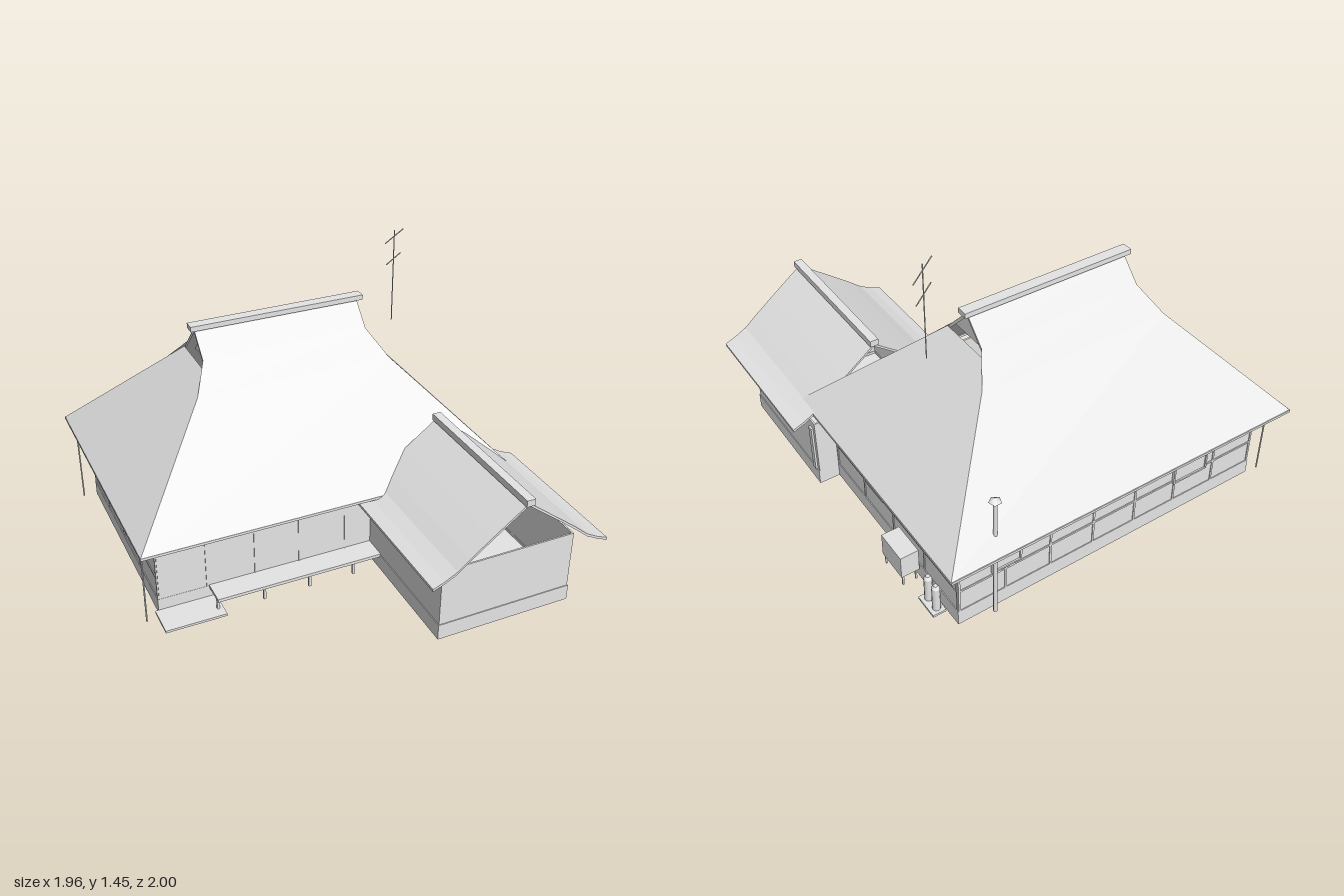
import * as THREE from 'three';

const grey = new THREE.MeshStandardMaterial({ color: 0xe5e5e5, side: THREE.DoubleSide });
grey.name = 'plain grey';

export function createModel() {
  const model = new THREE.Group();
  model.name = 'farmhouse';

  const add = (name, geometry, parent = model) => {
    const mesh = new THREE.Mesh(geometry, grey);
    mesh.name = name;
    parent.add(mesh);
    return mesh;
  };
  // Box given by its extents on each axis
  const box = (name, x0, x1, y0, y1, z0, z1, parent) => {
    const mesh = add(name, new THREE.BoxGeometry(x1 - x0, y1 - y0, z1 - z0), parent);
    mesh.position.set((x0 + x1) / 2, (y0 + y1) / 2, (z0 + z1) / 2);
    return mesh;
  };
  // Four upright walls, open above and below
  const shell = (name, x0, x1, y0, y1, z0, z1, th) => {
    box(name, x0, x1, y0, y1, z0, z0 + th);
    box(name, x0, x1, y0, y1, z1 - th, z1);
    box(name, x0, x0 + th, y0, y1, z0 + th, z1 - th);
    box(name, x1 - th, x1, y0, y1, z0 + th, z1 - th);
  };
  const rod = (name, x, z, y0, y1, r, sides = 8, rTop = r) => {
    const mesh = add(name, new THREE.CylinderGeometry(rTop, r, y1 - y0, sides));
    mesh.position.set(x, (y0 + y1) / 2, z);
  };
  // Flat convex panel from corner points
  const panel = (name, pts, parent) => {
    const pos = [];
    for (let i = 1; i < pts.length - 1; i++) pos.push(...pts[0], ...pts[i], ...pts[i + 1]);
    const g = new THREE.BufferGeometry();
    g.setAttribute('position', new THREE.Float32BufferAttribute(pos, 3));
    g.computeVertexNormals();
    add(name, g, parent);
  };

  // Main house walls, plinth and raised floor
  const L = -0.88, R = 0.775, B = -0.88, F = 0.2;
  shell('mainWalls', L, R, 0.07, 0.525, B, F, 0.01);
  shell('mainPlinth', L - 0.004, R + 0.004, 0, 0.08, B - 0.004, F + 0.001, 0.014);
  box('mainFloor', L, R, 0.06, 0.07, B, F);

  // Timber framing on the back and side walls
  const t = 0.004, w = 0.005;
  for (const y of [0.2, 0.39]) {
    box('backRail', L, R, y - w, y + w, B - t, B);
    box('leftRail', L - t, L, y - w, y + w, B, F);
    box('rightRail', R, R + t, y - w, y + w, B, F);
  }
  for (let i = 0; i <= 7; i++) {
    const x = L + w + (i / 7) * (R - L - 2 * w);
    box('backPost', x - w, x + w, 0.08, 0.45, B - t, B);
  }
  for (let i = 0; i <= 4; i++) {
    const z = B + w + (i / 4) * (F - B - 2 * w);
    box('leftPost', L - t, L, 0.08, 0.45, z - w, z + w);
    box('rightPost', R, R + t, 0.08, 0.45, z - w, z + w);
  }

  // Sliding-panel front
  box('frontLintel', L, R, 0.318, 0.327, F, F + t);
  box('frontTopBeam', L, R, 0.412, 0.422, F, F + t);
  for (const x of [-0.875, -0.645, -0.405, -0.18, 0.06])
    box('frontPost', x - w / 2, x + w / 2, 0.08, 0.42, F, F + t);

  // Framed windows: four bars round a pane
  const windowFrame = (name, width, height, x, y, z, turn) => {
    const g = new THREE.Group();
    g.name = name;
    const a = width / 2, b = height / 2, f = 0.009;
    for (const s of [-1, 1]) {
      box('frameRail', -a, a, s * (b - f / 2) - f / 2, s * (b - f / 2) + f / 2, 0, 0.014, g);
      box('frameStile', s * (a - f / 2) - f / 2, s * (a - f / 2) + f / 2, -b, b, 0, 0.014, g);
    }
    box('pane', -a, a, -b, b, 0, 0.007, g);
    g.position.set(x, y, z);
    g.rotation.y = turn;
    model.add(g);
  };
  windowFrame('rightWindow', 0.165, 0.13, R, 0.275, -0.185, Math.PI / 2);
  windowFrame('backWindowWide', 0.2, 0.13, -0.49, 0.255, B, Math.PI);
  windowFrame('backWindowSmall', 0.15, 0.11, 0.535, 0.275, B, Math.PI);

  // Veranda on short posts, running on inside the wing, and the low step
  box('verandaFloor', -0.635, R, 0.068, 0.084, F, 0.32);
  for (let i = 0; i < 6; i++) {
    const x = -0.63 + i * 0.23;
    box('verandaPost', x - 0.006, x + 0.006, 0, 0.07, 0.295, 0.307);
  }
  box('stepBoard', -0.9, -0.605, 0.008, 0.02, F, 0.355);
  for (const x of [-0.89, -0.63]) box('stepFoot', x, x + 0.015, 0, 0.01, 0.33, 0.345);

  // Great hipped roof with small open gables under the ridge
  const cx = -0.0525, cz = -0.329;
  const halfZ = (y) => 0.668 * (1.135 - y) / 0.7;
  const edge = [[0.9275, 0.435], [0.4875, 0.9], [0.415, 1.02], [0.415, 1.135]];
  const roof = new THREE.Group();
  roof.name = 'mainRoof';
  model.add(roof);
  for (const s of [-1, 1]) {
    const at = (hx, y) => [cx + hx, y, cz + s * halfZ(y)];
    for (let i = 0; i < 3; i++) {
      const [x0, y0] = edge[i], [x1, y1] = edge[i + 1];
      const pts = [at(-x0, y0), at(x0, y0), at(x1, y1), at(-x1, y1)];
      panel(s > 0 ? 'frontSlope' : 'backSlope', s > 0 ? pts : pts.reverse(), roof);
    }
    // Hip slope and recessed gable at each end
    const end = (hx, y, k, inset = 0) => [cx + s * hx, y, cz - s * k * Math.max(0, halfZ(y) - inset)];
    panel('hipSlope', [end(0.9275, 0.435, -1), end(0.9275, 0.435, 1), end(0.4875, 0.9, 1),
      end(0.417, 0.975, 1), end(0.417, 0.975, -1), end(0.4875, 0.9, -1)], roof);
    panel('gable', [end(0.35, 0.93, -1), end(0.35, 0.93, 1), end(0.35, 1.135, 0)], roof);
    // Thatch thickness showing at the gable verge
    for (const k of [-1, 1])
      panel('verge', [end(0.414, 0.975, k), end(0.414, 1.135, k), end(0.414, 1.115, 0), end(0.414, 0.975, k, 0.02)], roof);
  }
  // Thin rim hanging round the eaves
  shell('eavesRim', -0.98, 0.875, 0.423, 0.436, -1, 0.339, 0.006);
  box('ridgeCap', -0.49, 0.387, 1.13, 1.155, -0.357, -0.303, roof);

  // Front wing: open shell with a raised floor
  shell('wingWalls', 0.197, 0.878, 0.07, 0.375, F + 0.002, 0.883, 0.008);
  shell('wingPlinth', 0.193, 0.882, 0, 0.08, F + 0.002, 0.887, 0.014);
  box('wingFloor', 0.2, 0.875, 0.056, 0.066, F + 0.003, 0.88);
  box('wingShutter', 0.878, 0.888, 0.08, 0.335, 0.222, 0.25);

  // Sagging wing roof, extruded along z
  const wx = 0.535;
  const half = [[0, 0.7], [0.175, 0.568], [0.27, 0.494], [0.33, 0.444], [0.39, 0.412], [0.445, 0.39]];
  const top = [...half.slice(1).reverse().map(([x, y]) => [-x, y]), ...half];
  const outline = [...top, ...top.slice().reverse().map(([x, y]) => [x, y - 0.013])];
  const wingRoof = add('wingRoof', new THREE.ExtrudeGeometry(
    new THREE.Shape(outline.map(([x, y]) => new THREE.Vector2(wx + x, y))),
    { depth: 0.782, bevelEnabled: false }));
  wingRoof.position.z = 0.205;
  box('wingRidgeCap', wx - 0.021, wx + 0.021, 0.693, 0.725, 0.2, 1);

  // Rain pipes at the left corners
  for (const z of [0.23, -0.89]) rod('rainPipe', -0.95, z, 0, 0.43, 0.004, 6);

  // Flue with a small cap behind the house
  rod('fluePipe', 0.622, -0.93, 0.03, 0.69, 0.009);
  rod('flueCap', 0.622, -0.93, 0.69, 0.708, 0.029, 5, 0.004);

  // Aerial with two slanting crossbars
  rod('aerialMast', 0.56, -0.325, 0.98, 1.45, 0.0025, 6);
  for (const [y, len] of [[1.42, 0.215], [1.305, 0.17]]) {
    const bar = add('aerialBar', new THREE.BoxGeometry(len, 0.004, 0.004));
    bar.position.set(0.56, y, -0.325);
    bar.rotation.y = 0.68;
  }

  // Tank on legs and two gas bottles beside the right wall
  box('tank', 0.785, 0.875, 0.058, 0.178, -0.574, -0.406);
  for (const x of [0.795, 0.86]) for (const z of [-0.569, -0.419])
    box('tankLeg', x, x + 0.008, 0, 0.06, z, z + 0.008);
  box('bottleBase', 0.785, 0.85, 0, 0.012, -0.795, -0.67);
  for (const z of [-0.7, -0.764]) {
    rod('gasBottle', 0.815, z, 0.012, 0.14, 0.019, 12);
    rod('gasBottleTop', 0.815, z, 0.14, 0.155, 0.019, 12, 0.01);
  }

  return model;
}
